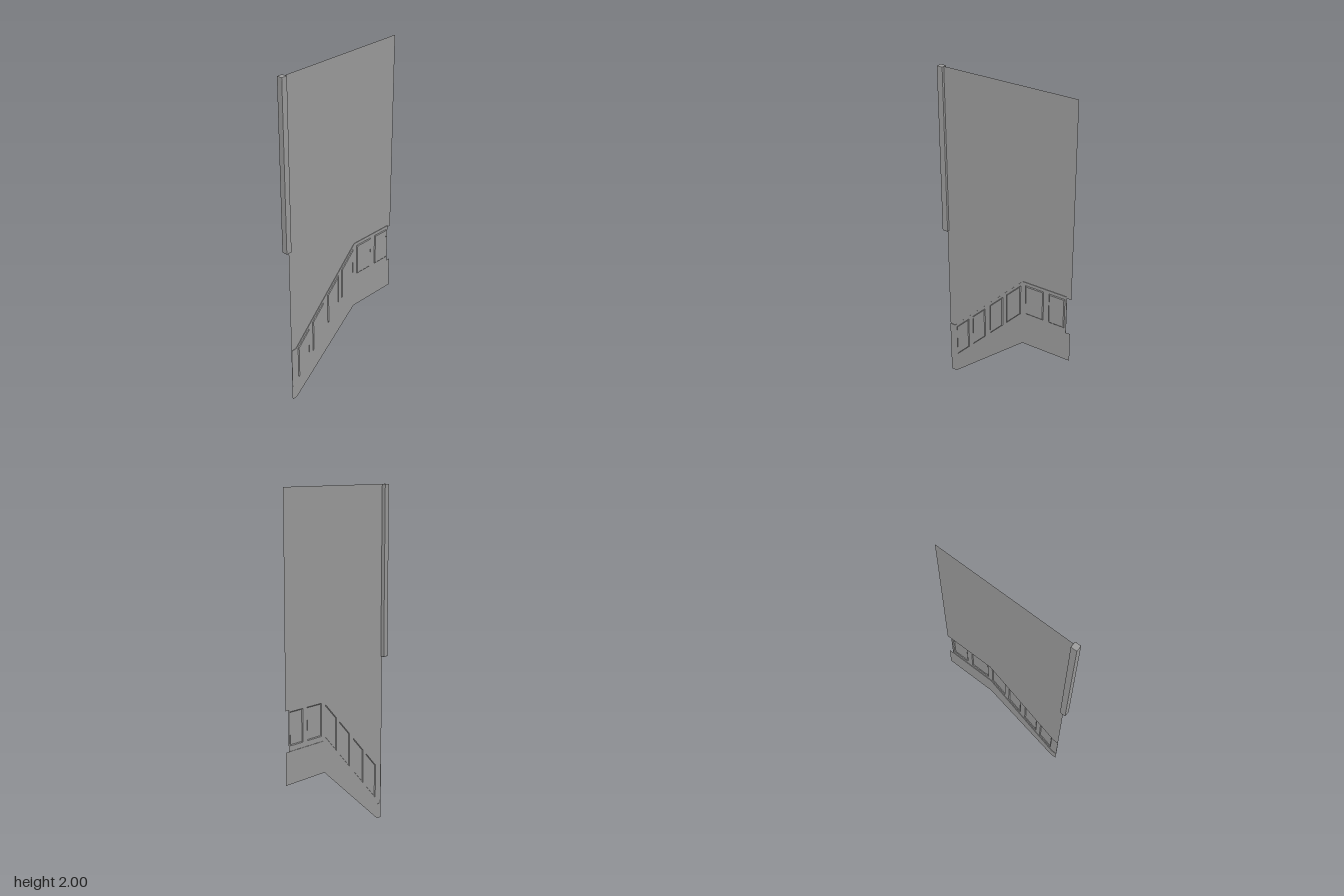
import * as THREE from 'three';
import { RoundedBoxGeometry } from 'three/addons/geometries/RoundedBoxGeometry.js';

const LEFT = -0.405, RIGHT = 0.432, BAND_RIGHT = 0.405; // x limits
const KINK_LOW = -0.37, KINK_HIGH = 0.115;              // where the stair slope starts and ends
const WALL_Z = 0.004, FRAME_Z = 0.007, FIELD_Z = 0.011;

const material = new THREE.MeshStandardMaterial({ color: 0x9b9b9b, side: THREE.DoubleSide, flatShading: true });

// Height of a line that is level, climbs between the kinks, then is level again
const rise = (x, low, high) =>
  low + (high - low) * THREE.MathUtils.clamp((x - KINK_LOW) / (KINK_HIGH - KINK_LOW), 0, 1);
const bandTop = x => rise(x, 0.345, 0.83);
const bandBottom = x => rise(x, 0.09, 0.59);

const line = (xs, height) => xs.map(x => new THREE.Vector2(x, height(x)));
const between = (x0, x1, lower, upper) => {
  const xs = [x0, KINK_LOW, KINK_HIGH, x1];
  return [...line(xs, lower), ...line(xs, upper).reverse()];
};

// Flat sheet from an outline, with optional holes
function sheet(name, outline, z, holes = []) {
  const shape = new THREE.Shape(outline);
  shape.holes = holes.map(h => new THREE.Path(h));
  const mesh = new THREE.Mesh(new THREE.ShapeGeometry(shape), material);
  mesh.name = name;
  mesh.position.z = z;
  return mesh;
}

// Strip of quads joining two closed loops at different depths
function strip(name, outer, zOuter, inner, zInner) {
  const positions = [];
  outer.forEach((a, i) => {
    const j = (i + 1) % outer.length;
    const b = outer[j], c = inner[j], d = inner[i];
    positions.push(a.x, a.y, zOuter, b.x, b.y, zOuter, c.x, c.y, zInner);
    positions.push(a.x, a.y, zOuter, c.x, c.y, zInner, d.x, d.y, zInner);
  });
  const geometry = new THREE.BufferGeometry();
  geometry.setAttribute('position', new THREE.Float32BufferAttribute(positions, 3));
  geometry.computeVertexNormals();
  const mesh = new THREE.Mesh(geometry, material);
  mesh.name = name;
  return mesh;
}

// Four corners of a panel that follows the band, shrunk by inset
function panelOutline([x0, x1], inset) {
  const a = x0 + inset, b = x1 - inset;
  const low = x => bandBottom(x) + 0.03 + inset, high = x => bandTop(x) - 0.02 - inset;
  return [...line([a, b], low), ...line([b, a], high)];
}

export function createModel() {
  const model = new THREE.Group();
  model.name = 'stairWall';

  // Wall above and skirting below the panelled band
  model.add(sheet('upperWall', between(LEFT, RIGHT, x => bandTop(x) - 0.01, () => 2), WALL_Z));
  model.add(sheet('lowerWall', between(LEFT, RIGHT, x => rise(x, 0, 0.405), bandBottom), WALL_Z));

  // Panelled band: frame, edge and raised panels
  const band = new THREE.Group();
  band.name = 'wainscot';
  const panels = [[-0.355, -0.265], [-0.235, -0.145], [-0.11, -0.02], [0.007, 0.103], [0.135, 0.255], [0.29, 0.393]];
  const outline = between(LEFT, BAND_RIGHT, bandBottom, bandTop);
  band.add(sheet('wainscotFrame', outline, FRAME_Z, panels.map(p => panelOutline(p, 0))));
  band.add(strip('wainscotEdge', outline, WALL_Z, outline, FRAME_Z));
  for (const p of panels) {
    const field = panelOutline(p, 0.005);
    band.add(strip('panelBevel', panelOutline(p, 0), FRAME_Z, field, FIELD_Z));
    band.add(sheet('panelField', field, FIELD_Z));
  }
  model.add(band);

  // Corner post along the upper half of the wall
  const post = new THREE.Mesh(new RoundedBoxGeometry(0.037, 1.004, 0.036, 1, 0.004), material);
  post.name = 'cornerPost';
  post.position.set(-0.4135, 1.498, 0);
  model.add(post);

  return model;
}
